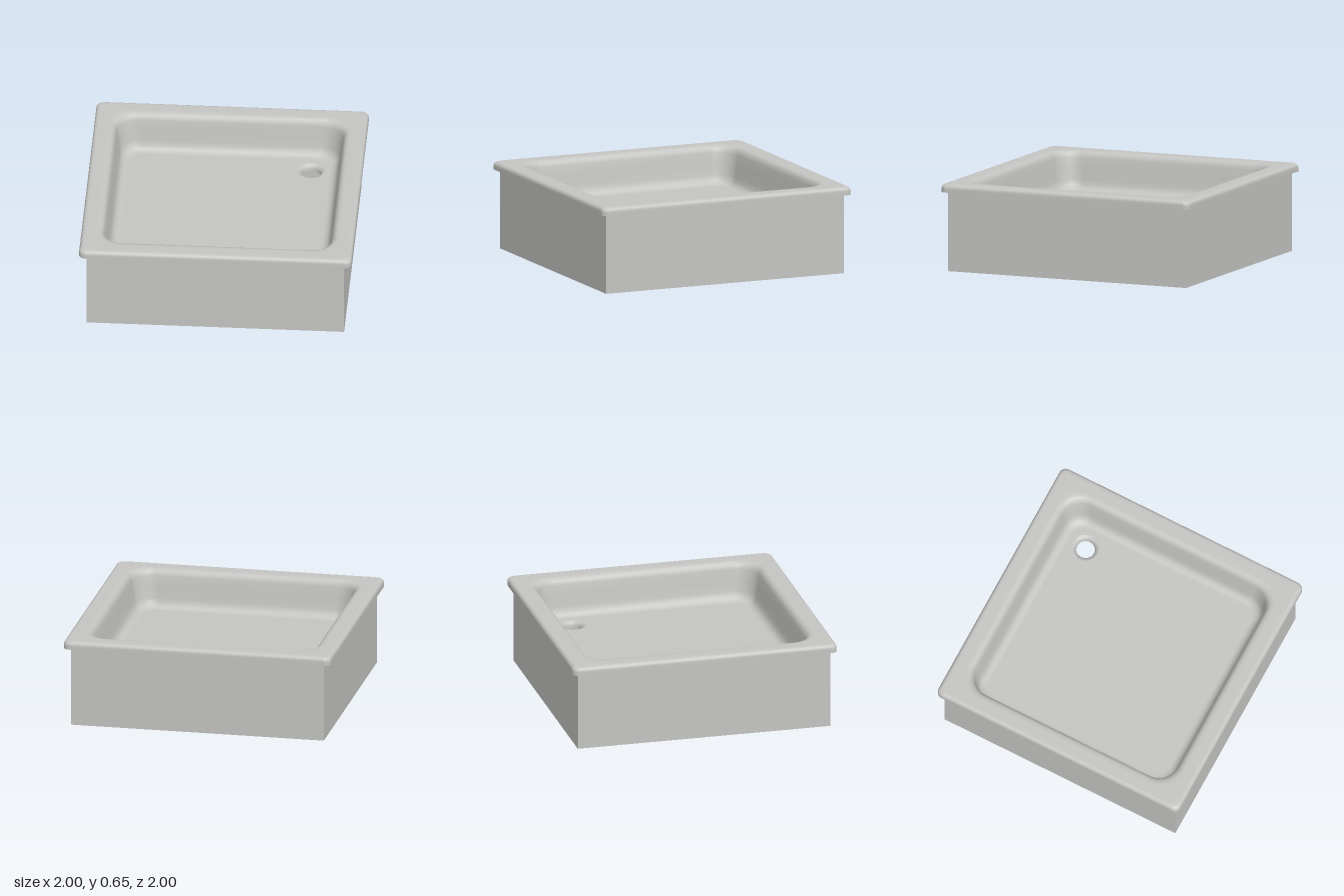
import * as THREE from 'three';

const enamel = new THREE.MeshStandardMaterial({ color: 0xc4c4c2, side: THREE.DoubleSide });
enamel.name = 'grey enamel';

// Points of a rounded square, [x, z]
function roundedSquare(half, radius, seg = 10) {
  const pts = [];
  for (let q = 0; q < 4; q++) {
    const mid = Math.PI / 4 + q * Math.PI / 2;
    const cx = Math.sign(Math.cos(mid)) * (half - radius);
    const cz = Math.sign(Math.sin(mid)) * (half - radius);
    for (let i = 0; i <= seg; i++) {
      const a = (q + i / seg) * Math.PI / 2;
      pts.push([cx + radius * Math.cos(a), cz + radius * Math.sin(a)]);
    }
  }
  return pts;
}

// Smooth skin through rounded-square rings given as [half, y, corner radius]
function loft(profile) {
  const pos = [], index = [];
  let n = 0;
  for (const [half, y, r] of profile) {
    const ring = roundedSquare(half, r);
    n = ring.length;
    for (const [x, z] of ring) pos.push(x, y, z);
  }
  for (let j = 0; j < profile.length - 1; j++) {
    for (let i = 0; i < n; i++) {
      const k = (i + 1) % n;
      const a = j * n + i, b = j * n + k, c = a + n, d = b + n;
      index.push(a, c, b, b, c, d);
    }
  }
  const g = new THREE.BufferGeometry();
  g.setAttribute('position', new THREE.Float32BufferAttribute(pos, 3));
  g.setIndex(index);
  g.computeVertexNormals();
  return g;
}

export function createModel() {
  const group = new THREE.Group();
  group.name = 'showerTray';
  const add = (name, geometry, x = 0, y = 0, z = 0) => {
    const mesh = new THREE.Mesh(geometry, enamel);
    mesh.name = name;
    mesh.position.set(x, y, z);
    group.add(mesh);
  };

  // Skirt: four thick panels, open underneath
  const wallH = 0.62, t = 0.1, halfX = 0.945, halfZ = 0.955;
  for (const s of [1, -1]) {
    add(s > 0 ? 'frontPanel' : 'backPanel',
      new THREE.BoxGeometry(2 * halfX, wallH, t), 0, wallH / 2, s * (halfZ - t / 2));
    add(s > 0 ? 'leftPanel' : 'rightPanel',
      new THREE.BoxGeometry(t, wallH, 2 * (halfZ - t)), s * (halfX - t / 2), wallH / 2, 0);
  }

  // Rim with rounded lip, flowing down into the basin walls
  const floorY = 0.37;
  const rim = [[1, 0.59, 0.05], [1, 0.605, 0.05], [1, 0.62, 0.05]];
  for (let i = 1; i <= 5; i++) {
    const a = i / 5 * Math.PI / 2;
    rim.push([0.97 + 0.03 * Math.cos(a), 0.62 + 0.03 * Math.sin(a), 0.05]);
  }
  add('rimAndBasin', loft([
    ...rim, [0.95, 0.65, 0.05],
    [0.895, 0.65, 0.17], [0.875, 0.649, 0.17], [0.857, 0.643, 0.165],
    [0.842, 0.627, 0.16], [0.832, 0.6, 0.155], [0.82, 0.52, 0.15],
    [0.808, 0.44, 0.14], [0.798, 0.405, 0.135], [0.782, 0.384, 0.125],
    [0.762, 0.373, 0.115], [0.745, floorY, 0.105], [0.73, floorY, 0.1],
  ]));
  add('rimUnderside', loft([[0.93, 0.59, 0.03], [1, 0.59, 0.05]]));

  // Flat basin floor with the drain opening
  const drainR = 0.1;
  const floor = new THREE.Shape(roundedSquare(0.73, 0.1).map(([x, z]) => new THREE.Vector2(x, z)));
  const hole = new THREE.Path();
  hole.absarc(0.6, 0.6, drainR, 0, Math.PI * 2, true);
  floor.holes.push(hole);
  add('basinFloor', new THREE.ShapeGeometry(floor, 24).rotateX(-Math.PI / 2), 0, floorY, 0);

  // Dished drain edge
  const drain = [[0.069, -0.05], [0.07, -0.03], [0.075, -0.017], [0.085, -0.006], [drainR, 0]];
  add('drain', new THREE.LatheGeometry(drain.map(([r, y]) => new THREE.Vector2(r, y)), 48),
    0.6, floorY, -0.6);

  return group;
}
